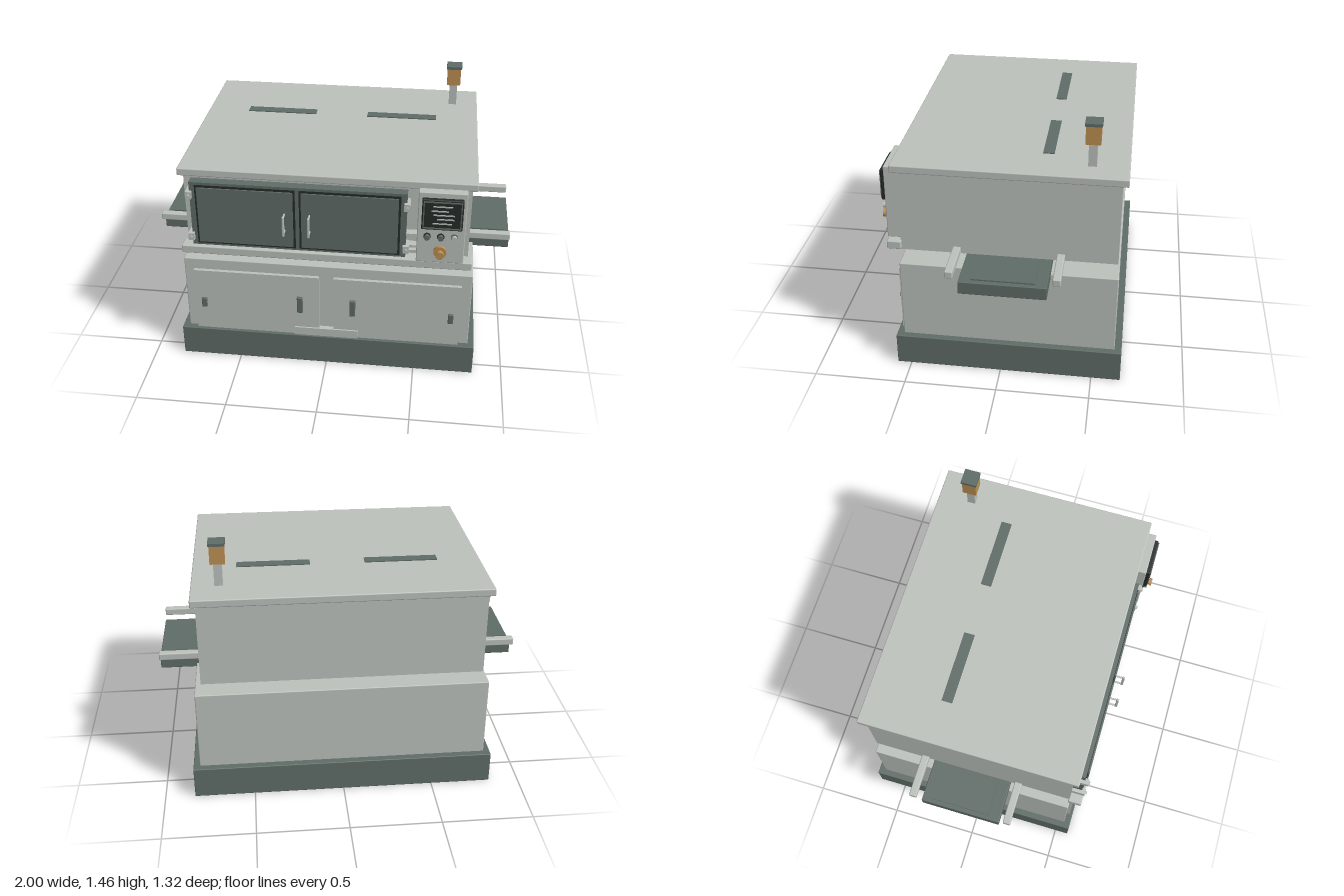
import * as THREE from 'three';
import { RoundedBoxGeometry } from 'three/addons/geometries/RoundedBoxGeometry.js';

const mat = (name, color) => {
  const m = new THREE.MeshStandardMaterial({ color });
  m.name = name;
  return m;
};

export function createModel() {
  const light = mat('light grey enamel', 0xbcc1bc);
  const dark = mat('dark slate', 0x5f6c67);
  const black = mat('black', 0x252b29);
  const copper = mat('copper', 0xbc8f52);

  const model = new THREE.Group();
  model.name = 'benchOven';

  // Box given by its limits on each axis; r rounds the edges
  const box = (name, m, [x0, x1], [y0, y1], [z0, z1], r = 0) => {
    const w = x1 - x0, h = y1 - y0, d = z1 - z0;
    const g = r ? new RoundedBoxGeometry(w, h, d, 2, r) : new THREE.BoxGeometry(w, h, d);
    const mesh = new THREE.Mesh(g, m);
    mesh.name = name;
    mesh.position.set((x0 + x1) / 2, (y0 + y1) / 2, (z0 + z1) / 2);
    model.add(mesh);
    return mesh;
  };
  // Cylinder pointing forwards
  const disc = (name, m, x, y, z0, z1, r) => {
    const mesh = new THREE.Mesh(new THREE.CylinderGeometry(r, r, z1 - z0, 24).rotateX(Math.PI / 2), m);
    mesh.name = name;
    mesh.position.set(x, y, (z0 + z1) / 2);
    model.add(mesh);
  };
  const around = (c, size) => [c - size / 2, c + size / 2];

  // Plinth and lower cabinet
  box('plinth', dark, [-0.835, 0.835], [0, 0.18], [-0.658, 0.577], 0.004);
  box('cabinet', light, [-0.8, 0.8], [0.17, 0.635], [-0.62, 0.54], 0.005);
  box('cabinetSill', light, [-0.18, 0.18], [0.18, 0.23], [0.53, 0.569]);
  for (const s of [-1, 1]) {
    box('cabinetDoor', light, around(s * 0.3925, 0.705), [0.18, 0.57], [0.53, 0.56]);
    box('cabinetHandle', dark, around(s * 0.148, 0.032), [0.335, 0.437], [0.555, 0.575], 0.004);
    box('cabinetLatch', dark, around(s * 0.695, 0.03), [0.33, 0.39], [0.555, 0.573], 0.004);
  }

  // Tray running through the gap, its raised inset, and side rails
  box('tray', dark, [-1, 1], [0.613, 0.685], [-0.267, 0.188], 0.004);
  box('trayInset', dark, [-0.975, 0.975], [0.68, 0.692], [-0.205, 0.125]);
  for (const z of [0.234, -0.315]) box('rail', light, [-1, 1], [0.7, 0.741], around(z, 0.042), 0.006);

  // Upper body, lid and front ledge
  box('ovenBody', light, [-0.762, 0.762], [0.703, 1.175], [-0.613, 0.535]);
  box('lid', light, [-0.788, 0.788], [1.17, 1.212], [-0.645, 0.566], 0.006);
  box('frontLedge', light, [-0.785, 0.785], [0.713, 0.76], [0.53, 0.605], 0.006);
  for (const s of [-1, 1]) box('roofVent', dark, around(s * 0.35, 0.4), [1.208, 1.217], [-0.252, -0.193]);

  // Chimney
  box('chimneyPost', light, around(0.641, 0.044), [1.2, 1.345], around(-0.454, 0.044));
  box('chimneyBox', copper, around(0.641, 0.078), [1.34, 1.442], around(-0.454, 0.078));
  box('chimneyCap', dark, around(0.641, 0.088), [1.44, 1.456], around(-0.454, 0.088));

  // Oven doors: backing frame, seal, panel, handle and hinges
  box('doorFrame', dark, [-0.722, 0.43], [0.765, 1.147], [0.53, 0.588]);
  for (const s of [-1, 1]) {
    const c = -0.147 + s * 0.278;
    box('doorSeal', black, around(c, 0.535), [0.778, 1.132], [0.58, 0.592]);
    box('ovenDoor', dark, around(c, 0.512), [0.79, 1.12], [0.585, 0.6]);
    const hx = -0.147 + s * 0.067;
    box('doorHandle', light, around(hx, 0.013), [0.883, 1.002], [0.638, 0.652], 0.004);
    for (const y of [0.893, 0.992]) disc('handlePost', light, hx, y, 0.595, 0.643, 0.005);
    const ex = -0.147 + s * 0.578;
    for (const y of [0.82, 1.075]) {
      box('hinge', light, around(ex, 0.032), around(y, 0.042), [0.53, 0.608]);
      disc('hingePin', light, ex, y, 0.6, 0.617, 0.008);
    }
  }
  for (const y of [0.8, 0.83, 0.9]) box('latchTab', light, [0.43, 0.487], around(y, 0.014), [0.53, 0.58]);

  // Control panel with display, buttons and knob
  box('controlPanel', light, [0.487, 0.737], [0.758, 1.178], [0.53, 0.61], 0.005);
  box('displayBezel', black, [0.507, 0.72], [0.97, 1.148], [0.6, 0.632], 0.006);
  for (const [x, w] of [[0.517, 0.006], [0.71, 0.006]]) box('bezelTrim', dark, around(x, w), [0.982, 1.136], [0.63, 0.637]);
  for (const y of [0.982, 1.136]) box('bezelTrim', dark, [0.514, 0.713], around(y, 0.006), [0.63, 0.637]);
  [[0.614, 1.11, 0.1], [0.6, 1.084, 0.09], [0.622, 1.06, 0.11], [0.63, 1.036, 0.09], [0.614, 1.01, 0.1]]
    .forEach(([x, y, w]) => box('displayBar', light, around(x, w), around(y, 0.007), [0.63, 0.635]));
  [dark, dark, light].forEach((m, i) => {
    const x = 0.54 + i * 0.071;
    disc('buttonRing', m === dark ? black : dark, x, 0.92, 0.605, 0.618, 0.019);
    disc('button', m, x, 0.92, 0.61, 0.635, 0.015);
  });
  disc('knobBase', copper, 0.611, 0.83, 0.605, 0.626, 0.034);
  disc('knobStem', copper, 0.611, 0.83, 0.62, 0.65, 0.015);
  disc('knobCap', copper, 0.611, 0.83, 0.645, 0.66, 0.022);

  return model;
}
